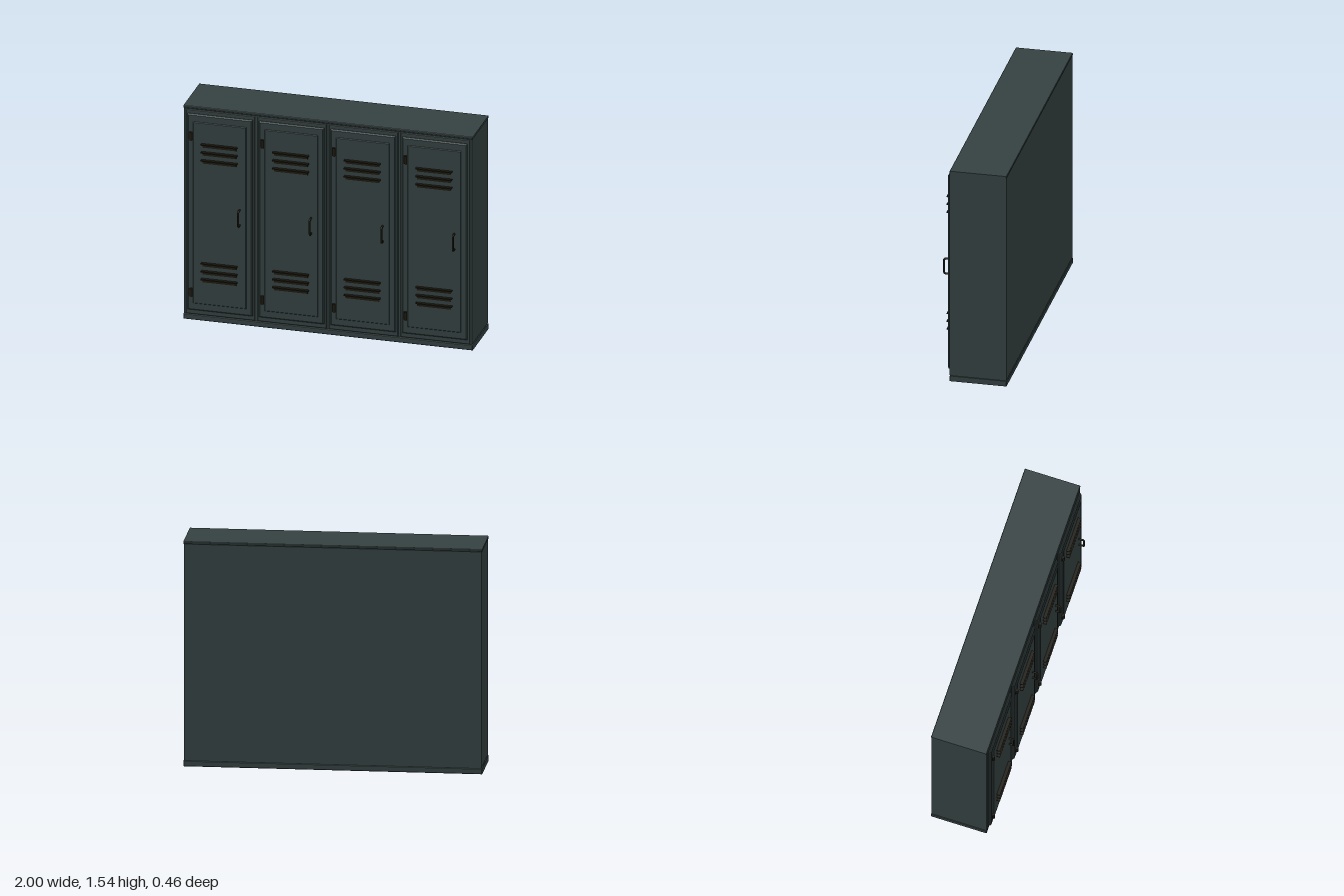
import * as THREE from 'three';

const paint = new THREE.MeshStandardMaterial({ color: 0x354141 });
paint.name = 'slate paint';
const metal = new THREE.MeshStandardMaterial({ color: 0x1d1a10 });
metal.name = 'dark metal';

const FRONT = 0.16;
const BACK = -0.23;
const PITCH = 0.495;

function add(parent, name, geometry, material, x, y, z) {
  const mesh = new THREE.Mesh(geometry, material);
  mesh.name = name;
  mesh.position.set(x, y, z);
  parent.add(mesh);
  return mesh;
}

// Plain box given by its height range and depth range
function block(parent, name, material, w, y0, y1, z0, z1, x = 0) {
  return add(parent, name, new THREE.BoxGeometry(w, y1 - y0, z1 - z0), material,
    x, (y0 + y1) / 2, (z0 + z1) / 2);
}

// Plate with a chamfered front edge, from z = 0 to z = depth
function plate(w, h, depth, bevel) {
  const a = w / 2 - bevel, b = h / 2 - bevel;
  const shape = new THREE.Shape([
    new THREE.Vector2(-a, -b), new THREE.Vector2(a, -b),
    new THREE.Vector2(a, b), new THREE.Vector2(-a, b),
  ]);
  const g = new THREE.ExtrudeGeometry(shape, {
    depth: depth - 2 * bevel, bevelEnabled: true, bevelSize: bevel,
    bevelThickness: bevel, bevelSegments: 1,
  });
  return g.translate(0, 0, bevel);
}

// Vent: narrow backing strip under a wider projecting hood
function makeLouver(y) {
  const louver = new THREE.Group();
  louver.name = 'louver';
  block(louver, 'louverHood', metal, 0.25, y - 0.004, y + 0.004, 0.185, 0.209);
  block(louver, 'louverBack', metal, 0.234, y - 0.024, y - 0.004, 0.182, 0.193);
  return louver;
}

// Bent bar pull with rounded cross-section
function makeHandle() {
  const path = new THREE.CurvePath();
  const pts = [[0.73, 0.185], [0.73, 0.216], [0.737, 0.223], [0.833, 0.223],
    [0.84, 0.216], [0.84, 0.185]].map(([y, z]) => new THREE.Vector3(0, y, z));
  for (let i = 1; i < pts.length; i++) path.add(new THREE.LineCurve3(pts[i - 1], pts[i]));
  return new THREE.TubeGeometry(path, 60, 0.007, 8, false);
}

function makeLocker() {
  const locker = new THREE.Group();
  locker.name = 'locker';
  // Frame face, door and raised inner panel
  add(locker, 'frameFace', plate(0.478, 1.475, 0.008, 0.003), paint, 0, 0.781, FRONT - 0.004);
  add(locker, 'door', plate(0.45, 1.415, 0.02, 0.008), paint, 0, 0.785, FRONT);
  add(locker, 'doorPanel', plate(0.37, 1.31, 0.01, 0.004), paint, 0, 0.785, 0.177);
  // Vents at top and bottom
  for (const y of [1.288, 1.231, 1.173, 0.43, 0.373, 0.316]) locker.add(makeLouver(y));
  // Hinges on one side, pull on the other
  for (const y of [1.337, 0.21]) {
    add(locker, 'hingeBarrel', new THREE.CylinderGeometry(0.01, 0.01, 0.056, 12), metal, -0.197, y, 0.19);
    block(locker, 'hingeLeaf', metal, 0.016, y - 0.026, y + 0.026, 0.176, 0.186, -0.205);
  }
  add(locker, 'handle', makeHandle(), metal, 0.139, 0, 0);
  return locker;
}

export function createModel() {
  const model = new THREE.Group();
  model.name = 'lockerBank';
  // Carcass: plinth, recessed joint, body, and top cap
  const baseBody = plate(2, 0.038, FRONT - BACK, 0.003);
  add(model, 'plinth', baseBody, paint, 0, 0.019, BACK);
  block(model, 'plinthJoint', paint, 1.985, 0.036, 0.047, BACK + 0.007, FRONT - 0.007);
  block(model, 'body', paint, 1.994, 0.045, 1.523, BACK + 0.002, FRONT - 0.001);
  add(model, 'topCap', plate(2, 0.016, FRONT - BACK, 0.003), paint, 0, 1.532, BACK);
  // Four identical lockers side by side
  for (let i = 0; i < 4; i++) {
    const locker = makeLocker();
    locker.position.x = (i - 1.5) * PITCH;
    model.add(locker);
  }
  return model;
}
